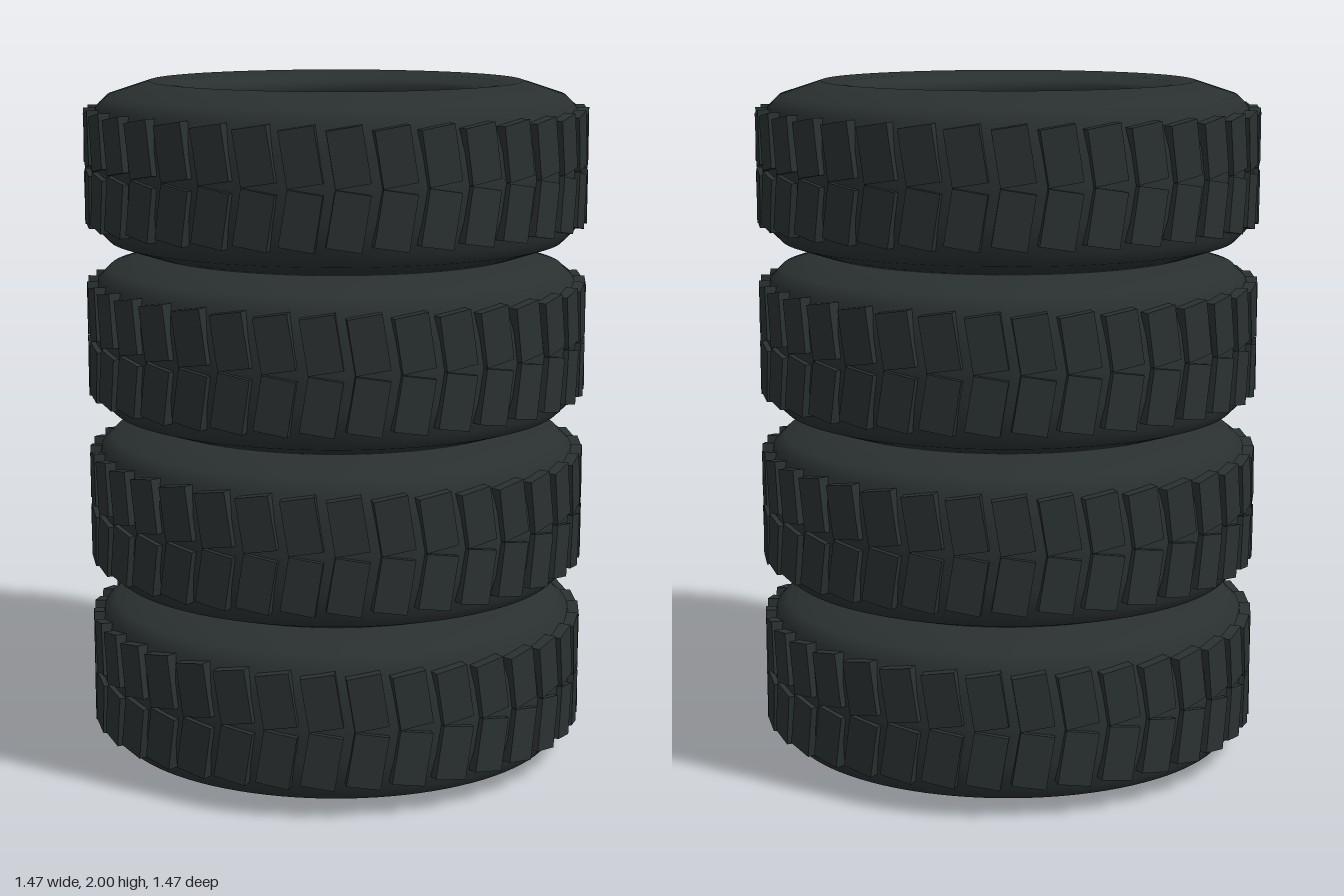
import * as THREE from 'three';
import { mergeGeometries } from 'three/addons/utils/BufferGeometryUtils.js';

const TYRE_HEIGHT = 0.5;
const BLOCKS = 36;

// Closed hollow cross-section: outer wall upward, then the inside downward
function carcassGeometry() {
  const upperHalf = [
    [0.72, 0.25], [0.718, 0.34], [0.702, 0.425], [0.667, 0.46], [0.545, 0.5],
    [0.48, 0.492], [0.43, 0.475], [0.417, 0.462], [0.415, 0.438], [0.427, 0.428],
    [0.52, 0.445], [0.61, 0.425], [0.665, 0.36], [0.68, 0.25],
  ];
  const lowerHalf = upperHalf.slice(1, -1).reverse().map(([r, y]) => [r, TYRE_HEIGHT - y]);
  const loop = [...upperHalf, ...lowerHalf, upperHalf[0]];
  return new THREE.LatheGeometry(loop.map(([r, y]) => new THREE.Vector2(r, y)), 96);
}

// One ring of slanted tread blocks
function treadRowGeometry(y, tilt) {
  const blocks = [];
  for (let i = 0; i < BLOCKS; i++) {
    const block = new THREE.BoxGeometry(0.097, 0.155, 0.05);
    block.rotateZ(tilt);
    block.translate(0, y, 0.71);
    block.rotateY((i / BLOCKS) * Math.PI * 2);
    blocks.push(block);
  }
  return mergeGeometries(blocks);
}

export function createModel() {
  const model = new THREE.Group();
  model.name = 'tyreStack';
  const rubber = new THREE.MeshStandardMaterial({ color: 0x2a3030 });
  const parts = [
    ['carcass', carcassGeometry()],
    ['upperTreadRow', treadRowGeometry(0.34, 0.16)],
    ['lowerTreadRow', treadRowGeometry(0.17, -0.16)],
  ];

  // Four tyres, alternately turned by part of a block
  for (let t = 0; t < 4; t++) {
    const tyre = new THREE.Group();
    tyre.name = `tyre${t + 1}`;
    for (const [name, geometry] of parts) {
      const mesh = new THREE.Mesh(geometry, rubber);
      mesh.name = name;
      tyre.add(mesh);
    }
    tyre.position.y = t * TYRE_HEIGHT;
    tyre.rotation.y = t % 2 ? -0.045 : 0.03;
    model.add(tyre);
  }
  return model;
}
